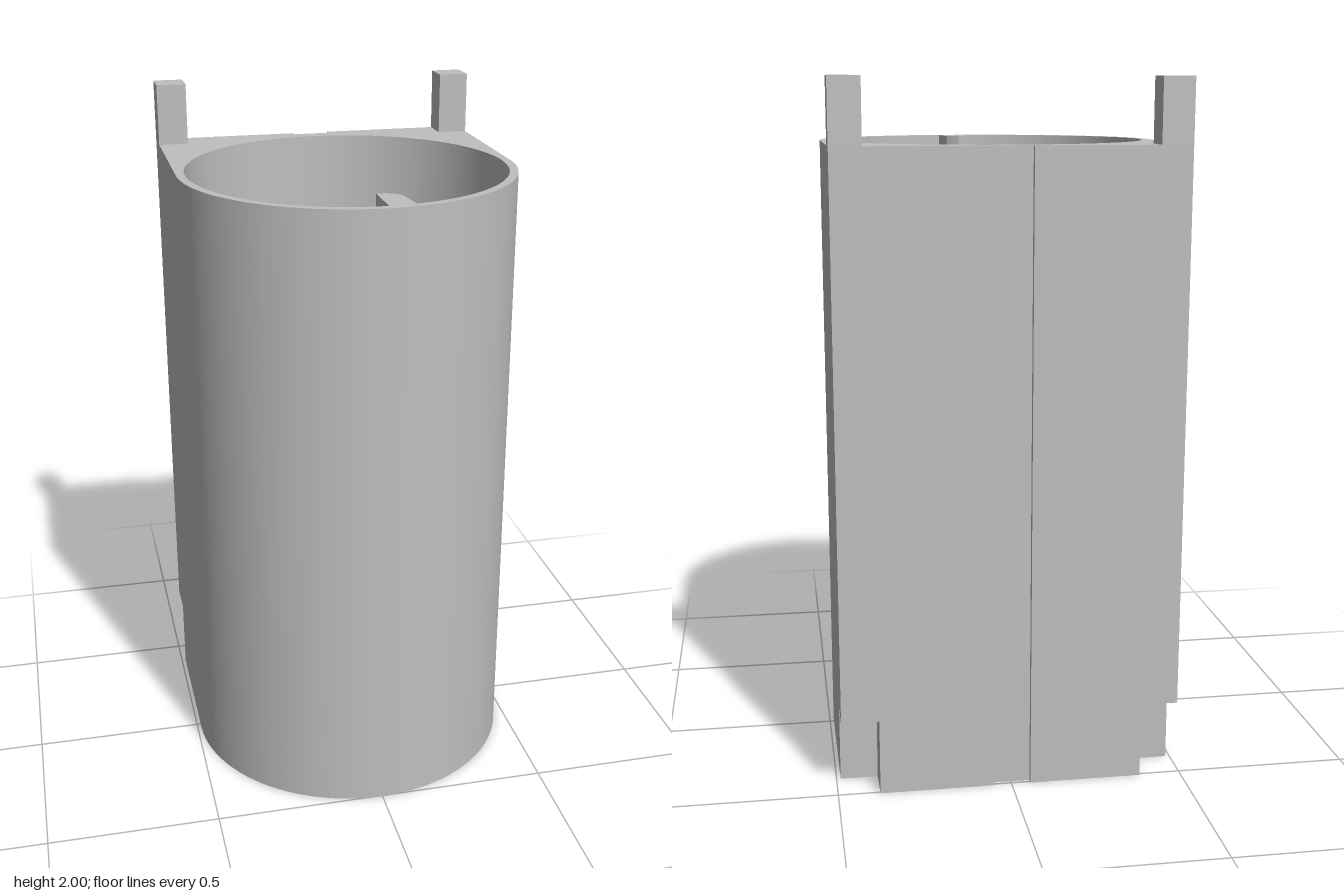
import * as THREE from 'three';
import { toCreasedNormals } from 'three/addons/utils/BufferGeometryUtils.js';

const BODY_TOP = 1.82, NOTCH_TOP = 0.22, TOP = 2;
const HALF = 0.488, BACK = 0.507, AXIS_Z = 0.015, BORE = 0.463;

export function createModel() {
  const group = new THREE.Group();
  const grey = new THREE.MeshStandardMaterial({ color: 0xbfbfbf });
  grey.name = 'plain grey';

  // Extrude a plan outline (drawn with y = -z) upwards from y0 to y1
  function addPrism(name, shape, y0, y1) {
    const geo = new THREE.ExtrudeGeometry(shape, { depth: y1 - y0, bevelEnabled: false, curveSegments: 64 });
    geo.rotateX(-Math.PI / 2).translate(0, y0, 0);
    const mesh = new THREE.Mesh(toCreasedNormals(geo, 0.5), grey);
    mesh.name = name;
    group.add(mesh);
  }

  // Plan of the housing: round front, square back with a groove, round bore
  function housingPlan(notched) {
    const s = new THREE.Shape();
    s.absarc(0, -AXIS_Z, HALF, Math.PI, Math.PI * 2, false);
    if (notched) {
      s.lineTo(HALF, 0.4);
      s.lineTo(0.38, 0.4);
      s.lineTo(0.38, BACK);
    } else s.lineTo(HALF, BACK);
    s.lineTo(0.055, BACK);
    s.lineTo(0.055, 0.49);
    s.lineTo(-0.055, 0.49);
    s.lineTo(-0.055, BACK);
    if (notched) {
      s.lineTo(-0.38, BACK);
      s.lineTo(-0.38, 0.4);
      s.lineTo(-HALF, 0.4);
    } else s.lineTo(-HALF, BACK);
    s.closePath();
    const hole = new THREE.Path();
    hole.absarc(0, -AXIS_Z, BORE, 0, Math.PI * 2, true);
    s.holes.push(hole);
    return s;
  }
  addPrism('notchedBase', housingPlan(true), 0, NOTCH_TOP);
  addPrism('housing', housingPlan(false), NOTCH_TOP, BODY_TOP);

  // Key rib inside the bore at the front
  const rib = new THREE.Shape([
    [0.005, -0.485], [0.083, -0.48], [0.07, -0.37], [0.055, -0.355], [0.035, -0.342], [0.005, -0.34],
  ].map(([x, y]) => new THREE.Vector2(x, y)));
  addPrism('keyRib', rib, 0, BODY_TOP);

  // Square posts on the back corners
  for (const side of [-1, 1]) {
    const post = new THREE.Mesh(new THREE.BoxGeometry(0.088, TOP - BODY_TOP, 0.088), grey);
    post.position.set(side * (HALF - 0.044), (TOP + BODY_TOP) / 2, -BACK + 0.044);
    post.name = side > 0 ? 'leftPost' : 'rightPost';
    group.add(post);
  }
  return group;
}
